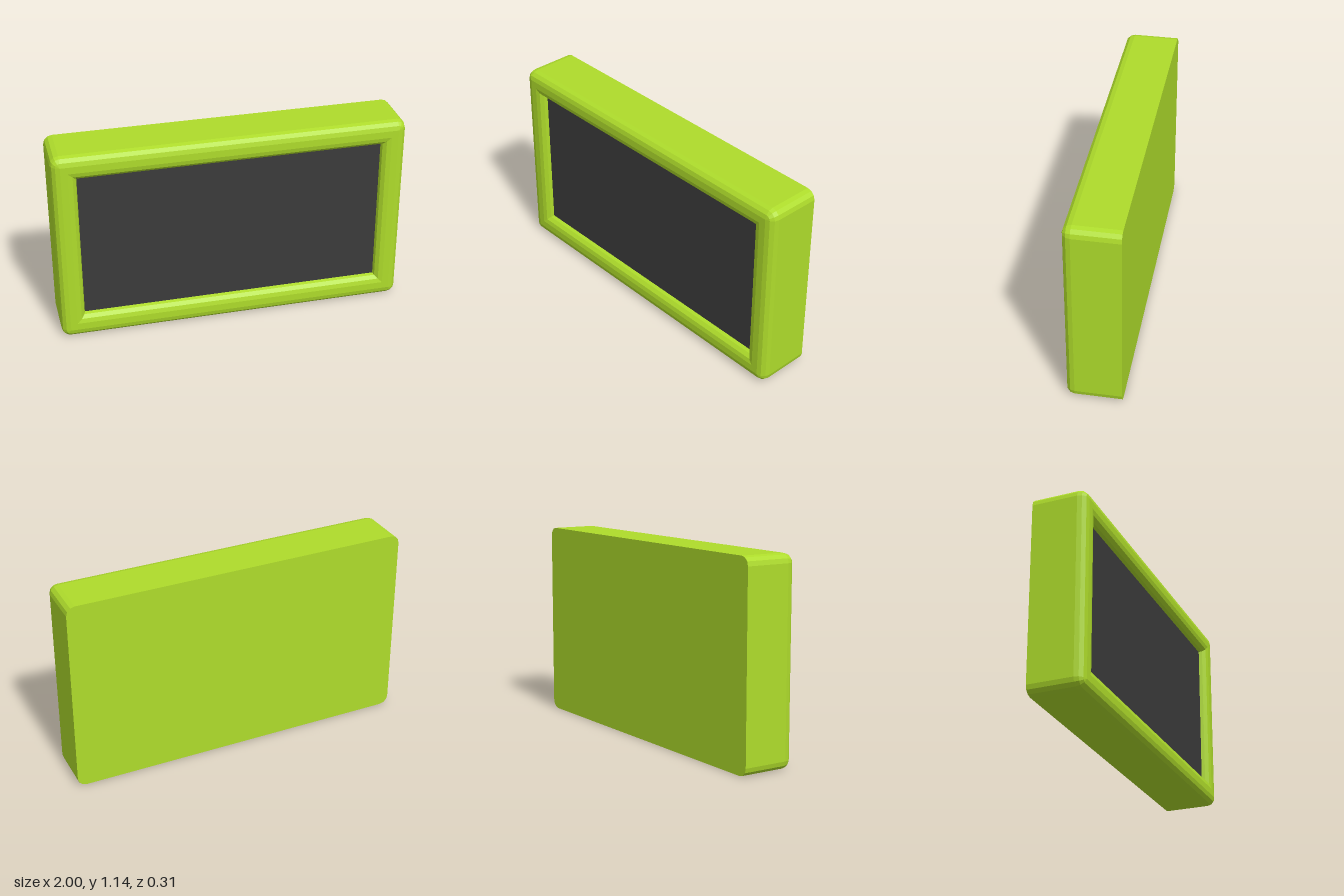
import * as THREE from 'three';

const W = 1, H = 0.57;          // half width and half height of the case
const BACK = -0.155, FRONT = 0.155;
const R = 0.05;                 // bevel and corner radius
const RIM = 0.14;               // width of the frame around the screen
const STEPS = 3;                // facets per rounded edge

// Rounded rectangle, counter-clockwise seen from the front
function loop(hw, hh, r, z) {
  const points = [];
  [[1, 1], [-1, 1], [-1, -1], [1, -1]].forEach(([sx, sy], corner) => {
    for (let i = 0; i <= STEPS; i++) {
      const a = (corner + i / STEPS) * Math.PI / 2;
      points.push(new THREE.Vector3(
        sx * (hw - r) + r * Math.cos(a), sy * (hh - r) + r * Math.sin(a), z));
    }
  });
  return points;
}

// Skin successive loops, leaving out collapsed triangles
function loft(loops) {
  const positions = [];
  const tri = new THREE.Triangle();
  const add = (a, b, c) => {
    if (tri.set(a, b, c).getArea() > 1e-8) {
      for (const p of [a, b, c]) positions.push(p.x, p.y, p.z);
    }
  };
  for (let i = 0; i < loops.length - 1; i++) {
    const a = loops[i], b = loops[i + 1];
    for (let j = 0; j < a.length; j++) {
      const k = (j + 1) % a.length;
      add(a[j], a[k], b[k]);
      add(a[j], b[k], b[j]);
    }
  }
  const geometry = new THREE.BufferGeometry();
  geometry.setAttribute('position', new THREE.Float32BufferAttribute(positions, 3));
  geometry.computeVertexNormals();
  return geometry;
}

export function createModel() {
  const group = new THREE.Group();
  group.name = 'framedScreen';

  // Case: closed back, straight sides, rounded outer edge, rounded inner edge
  const loops = [loop(0, 0, 0, BACK), loop(W, H, R, BACK)];
  for (let i = 0; i <= STEPS; i++) {
    const a = i / STEPS * Math.PI / 2;
    const inset = R * (1 - Math.cos(a));
    loops.push(loop(W - inset, H - inset, R - inset, FRONT - R + R * Math.sin(a)));
  }
  for (let i = 0; i <= STEPS; i++) {
    const a = i / STEPS * Math.PI / 2;
    const inset = RIM - R + R * Math.sin(a);
    loops.push(loop(W - inset, H - inset, 0, FRONT - R + R * Math.cos(a)));
  }
  const frame = new THREE.Mesh(loft(loops),
    new THREE.MeshStandardMaterial({ color: 0xaedc2b, flatShading: true }));
  frame.name = 'frame';
  frame.position.y = H;

  // Dark screen panel set just behind the rim
  const screen = new THREE.Mesh(
    new THREE.PlaneGeometry(2 * (W - RIM) + 0.004, 2 * (H - RIM) + 0.004),
    new THREE.MeshStandardMaterial({ color: 0x3b3b3b }));
  screen.name = 'screen';
  screen.position.set(0, H, 0.11);

  group.add(frame, screen);
  return group;
}
